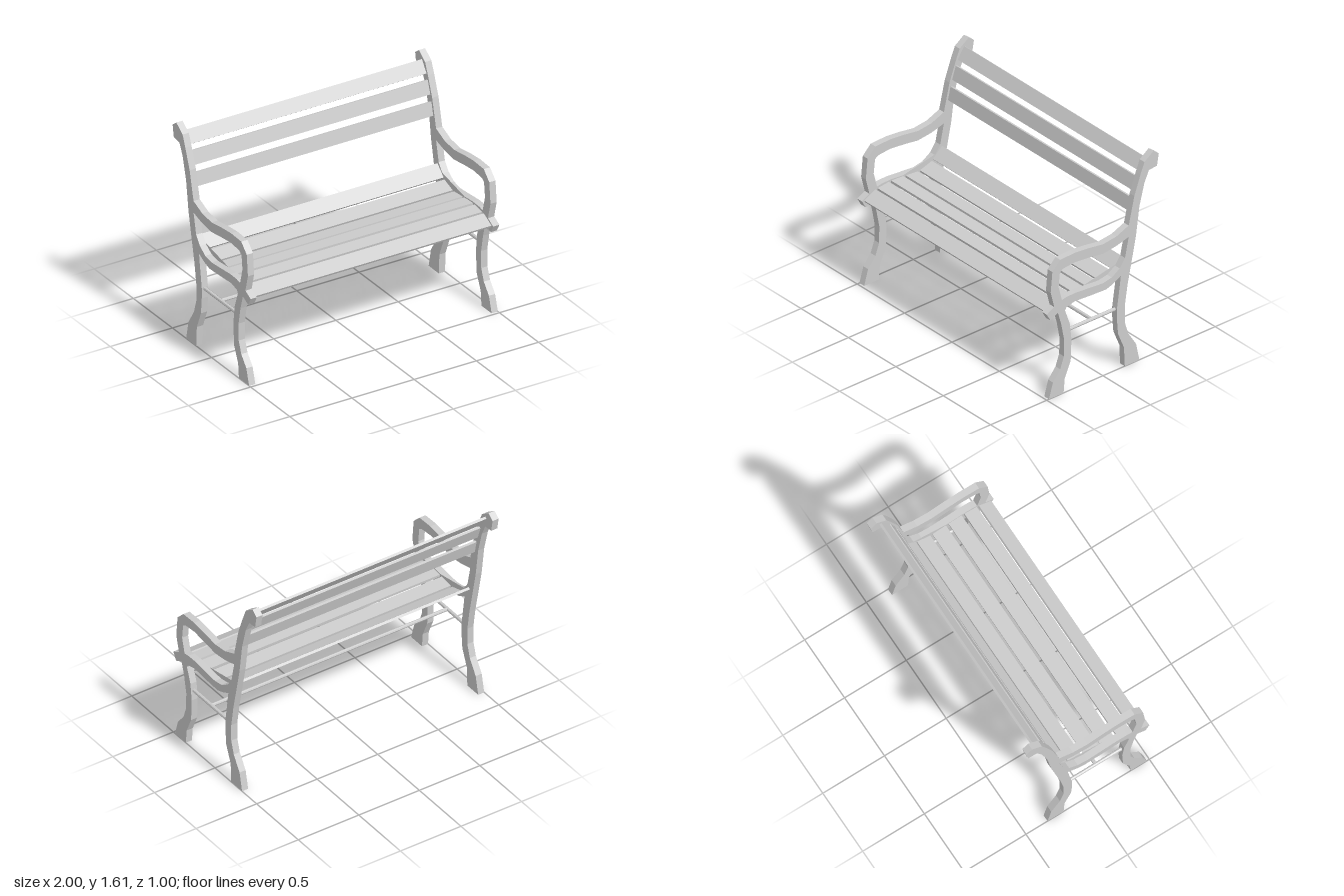
import * as THREE from 'three';

const material = new THREE.MeshStandardMaterial({ color: 0xcccccc, flatShading: true });
const thinMaterial = new THREE.MeshStandardMaterial({ color: 0xcccccc, side: THREE.DoubleSide });
const toPoints = (list) => list.map(([z, y]) => new THREE.Vector2(z, y));

// Side frame silhouette as (z, y): legs, seat rail, back post and armrest
const frameOutline = [
  // front leg, inner edge
  [0.48, 0], [0.35, 0], [0.34, 0.11], [0.287, 0.23], [0.28, 0.4], [0.295, 0.53], [0.337, 0.65],
  // underside of seat rail
  [0.325, 0.672], [0.25, 0.69], [0.1, 0.68], [-0.03, 0.675], [-0.09, 0.695], [-0.16, 0.73],
  // rear leg
  [-0.148, 0.64], [-0.125, 0.48], [-0.125, 0.4], [-0.135, 0.28], [-0.188, 0.15], [-0.195, 0],
  [-0.325, 0], [-0.295, 0.14], [-0.225, 0.25], [-0.195, 0.35], [-0.195, 0.48],
  // back post and its scrolled top
  [-0.22, 0.64], [-0.26, 0.83], [-0.295, 1.0], [-0.325, 1.22], [-0.37, 1.39], [-0.41, 1.475],
  [-0.482, 1.483], [-0.498, 1.575], [-0.45, 1.612], [-0.37, 1.555], [-0.335, 1.47],
  [-0.28, 1.32], [-0.23, 1.105],
  // armrest top and front
  [-0.12, 1.06], [0, 1.045], [0.12, 1.063], [0.25, 1.075], [0.38, 1.07], [0.45, 1.0],
  [0.465, 0.84], [0.433, 0.715],
  // rail tip and front leg, outer edge
  [0.5, 0.68], [0.468, 0.622], [0.4, 0.655], [0.37, 0.55], [0.345, 0.42], [0.347, 0.29],
  [0.38, 0.2], [0.445, 0.12],
];

// Opening between armrest and seat rail
const armOpening = [
  [0.365, 0.745], [0.395, 0.86], [0.383, 0.97], [0.355, 0.99], [0.25, 1.0], [0.12, 0.987],
  [0, 0.97], [-0.12, 0.985], [-0.23, 1.015], [-0.197, 0.86], [-0.15, 0.795], [-0.08, 0.75],
  [0, 0.735], [0.1, 0.743], [0.24, 0.755], [0.32, 0.753],
];

// Flat plate on the inner face of the seat rail
const railPlate = [[0.468, 0.622], [0.14, 0.745], [-0.2, 0.81], [-0.05, 0.675]];

// Slats as lower/front and upper/back edges in (z, y)
const seatSlats = [
  [[0.475, 0.67], [0.375, 0.72]], [[0.36, 0.722], [0.26, 0.733]],
  [[0.24, 0.735], [0.133, 0.73]], [[0.112, 0.727], [0.003, 0.717]],
  [[-0.018, 0.718], [-0.125, 0.752]], [[-0.137, 0.765], [-0.22, 0.838]],
];
const backSlats = [
  [[-0.275, 1.185], [-0.298, 1.283]], [[-0.312, 1.332], [-0.345, 1.43]],
  [[-0.36, 1.47], [-0.418, 1.555]],
];

function addMesh(group, name, geometry, mat = material) {
  const mesh = new THREE.Mesh(geometry, mat);
  mesh.name = name;
  group.add(mesh);
  return mesh;
}

// Board spanning the bench, tilted from edge a to edge b
function addSlat(group, name, [a, b]) {
  const dz = b[0] - a[0], dy = b[1] - a[1];
  const slat = addMesh(group, name, new THREE.BoxGeometry(1.9, 0.018, Math.hypot(dz, dy)));
  slat.position.set(0, (a[1] + b[1]) / 2, (a[0] + b[0]) / 2);
  slat.rotation.x = Math.atan2(dy, -dz);
}

export function createModel() {
  const bench = new THREE.Group();
  bench.name = 'bench';

  // Cast side frames: shape x becomes z, depth runs toward -x
  const shape = new THREE.Shape(toPoints(frameOutline));
  shape.holes.push(new THREE.Path(toPoints(armOpening)));
  const frameGeometry = new THREE.ExtrudeGeometry(shape, { depth: 0.05, bevelEnabled: false });
  frameGeometry.rotateY(-Math.PI / 2).translate(0.025, 0, 0);
  const plateGeometry = new THREE.ShapeGeometry(new THREE.Shape(toPoints(railPlate)));
  plateGeometry.rotateY(-Math.PI / 2);

  for (const [side, label] of [[1, 'left'], [-1, 'right']]) {
    addMesh(bench, label + 'SideFrame', frameGeometry).position.x = side * 0.975;
    addMesh(bench, label + 'RailPlate', plateGeometry, thinMaterial).position.x = side * 0.949;
    // Rod between front and rear leg
    const rod = addMesh(bench, label + 'LegRod', new THREE.CylinderGeometry(0.013, 0.013, 0.42, 8));
    rod.rotation.x = Math.PI / 2;
    rod.position.set(side * 0.975, 0.47, 0.08);
  }

  // Long rod joining the two leg rods
  const crossRod = addMesh(bench, 'crossRod', new THREE.CylinderGeometry(0.013, 0.013, 1.95, 8));
  crossRod.rotation.z = Math.PI / 2;
  crossRod.position.set(0, 0.47, 0.08);

  seatSlats.forEach((edges, i) => addSlat(bench, 'seatSlat' + (i + 1), edges));
  backSlats.forEach((edges, i) => addSlat(bench, 'backSlat' + (i + 1), edges));
  return bench;
}
